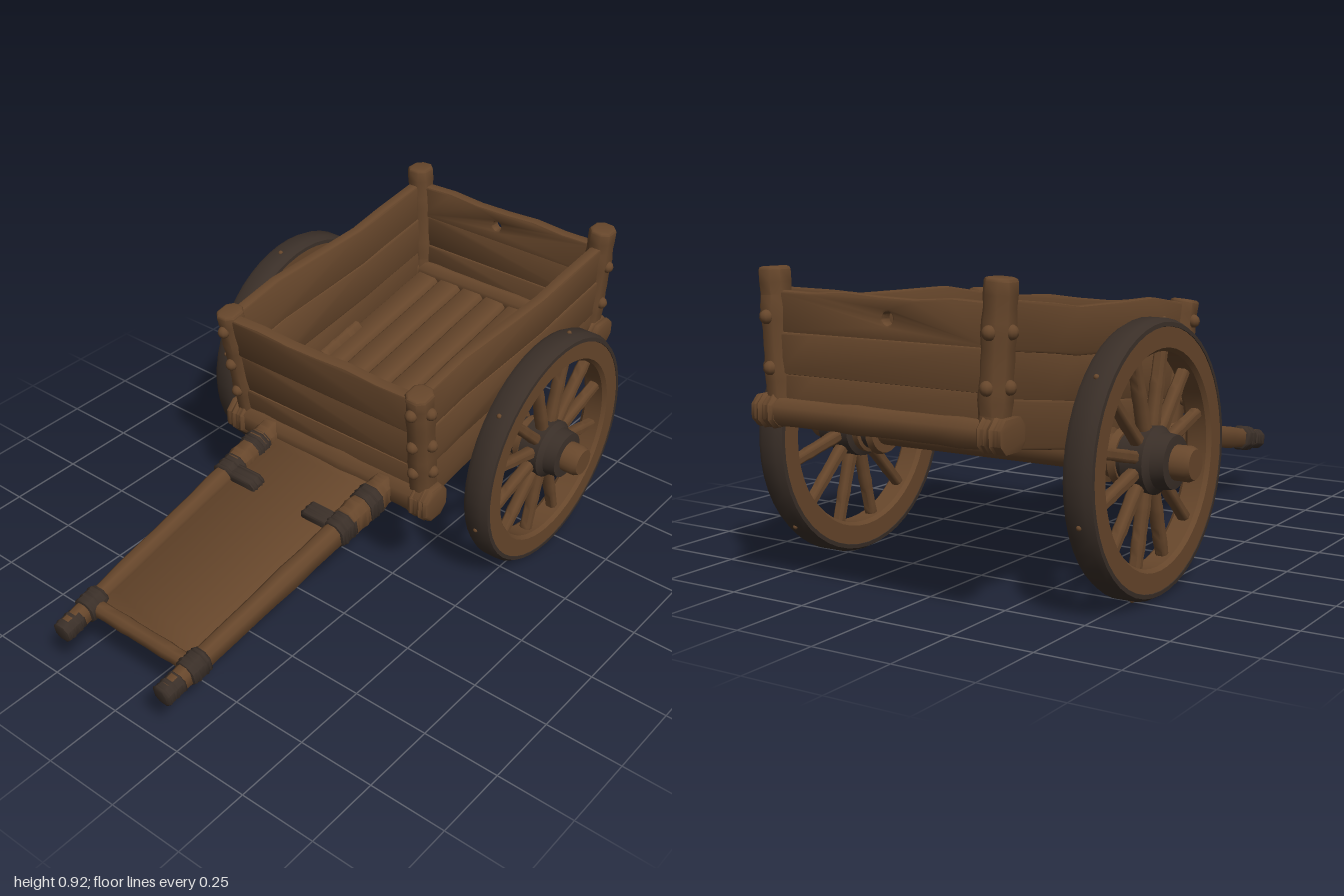
import * as THREE from 'three';
import { toCreasedNormals } from 'three/addons/utils/BufferGeometryUtils.js';

const wood = new THREE.MeshStandardMaterial({ color: 0x66462b });
const iron = new THREE.MeshStandardMaterial({ color: 0x3a2f28 });
const V = (x, y, z) => new THREE.Vector3(x, y, z);

let seed = 7;
const rand = () => (seed = (seed * 16807) % 2147483647) / 2147483647;

function add(parent, name, geometry, material = wood) {
  const mesh = new THREE.Mesh(geometry, material);
  mesh.name = name;
  parent.add(mesh);
  return mesh;
}

// Worn, rounded timber running from a to b; w across, h in the up direction
function beam(parent, name, a, b, w, h, { mat = wood, taper = 1, up = [0, 1, 0], rough = 0.03 } = {}) {
  const len = a.distanceTo(b), c = Math.min(w, h) * 0.2, e = c * 0.6;
  const x = w / 2 - e, y = h / 2 - e;
  const s = new THREE.Shape([
    [-x + c, -y], [x - c, -y], [x, -y + c], [x, y - c], [x - c, y], [-x + c, y], [-x, y - c], [-x, -y + c],
  ].map(p => new THREE.Vector2(...p)));
  const g = new THREE.ExtrudeGeometry(s, {
    depth: len - 2 * e, steps: 12, bevelThickness: e, bevelSize: e, bevelSegments: 2,
  });
  g.translate(0, 0, e);
  const p = g.attributes.position, phase = rand() * 6;
  for (let i = 0; i < p.count; i++) {
    const t = p.getZ(i) / len;
    const k = (1 + (taper - 1) * t) * (1 + rough * (Math.sin(t * 17 + phase) + Math.sin(t * 31 + phase * 2)));
    p.setXY(i, p.getX(i) * k, p.getY(i) * k);
  }
  const m = add(parent, name, toCreasedNormals(g, 0.8), mat);
  m.position.copy(a);
  m.up.set(...up);
  m.lookAt(b);
  return m;
}

function stud(parent, x, y, z, r = 0.02) {
  add(parent, 'stud', new THREE.SphereGeometry(r, 10, 8)).position.set(x, y, z);
}

// Ring or turned part about the z axis, from [radius, z] points
function turned(parent, name, pts, mat = wood, segments = 40) {
  const g = new THREE.LatheGeometry(pts.map(p => new THREE.Vector2(...p)), segments);
  g.rotateX(Math.PI / 2);
  return add(parent, name, toCreasedNormals(g, 0.6), mat);
}

function wheel(side) {
  const g = new THREE.Group();
  g.name = side > 0 ? 'frontWheel' : 'backWheel';
  turned(g, 'rim', [[0.3, -0.03], [0.31, -0.042], [0.372, -0.042], [0.378, -0.03], [0.378, 0.03],
    [0.372, 0.042], [0.31, 0.042], [0.3, 0.03], [0.3, -0.03]], wood, 48);
  turned(g, 'tyre', [[0.365, -0.036], [0.368, -0.044], [0.38, -0.043], [0.39, -0.025], [0.39, 0.025],
    [0.38, 0.043], [0.368, 0.044], [0.365, 0.036]], iron, 48);
  for (let i = 0; i < 12; i++) {
    const a = (i + 0.5) * Math.PI / 6 + 0.03;
    beam(g, 'spoke', V(Math.cos(a) * 0.06, Math.sin(a) * 0.06, 0),
      V(Math.cos(a) * 0.315, Math.sin(a) * 0.315, 0), 0.036, 0.042, { taper: 0.85, up: [0, 0, 1] });
  }
  turned(g, 'hub', [[0, -0.09], [0.065, -0.09], [0.07, -0.05], [0.092, -0.04], [0.096, 0.03],
    [0.08, 0.045], [0.075, 0.085], [0.05, 0.088], [0, 0.088]], iron, 24);
  turned(g, 'axleEnd', [[0, 0], [0.048, 0], [0.05, 0.13], [0.042, 0.145], [0, 0.145]], wood, 20);
  for (let i = 0; i < 6; i++) {
    const a = i * Math.PI / 3 + 0.3;
    stud(g, Math.cos(a) * 0.388, Math.sin(a) * 0.388 , 0, 0.008);
  }
  g.position.set(0.435, 0.392, side * 0.515);
  if (side < 0) g.rotation.y = Math.PI;
  return g;
}

// Side wall of three boards following the sloping floor and worn top edge
function sideWall(parent, side) {
  const xs = [0, 0.2, 0.42, 0.6, 0.72, 0.95];
  const tops = [0.77, 0.805, 0.81, 0.815, 0.835, 0.865];
  const edge = (i, t) => {
    const bottom = 0.335 + 0.165 * xs[i];
    const y = bottom + (tops[i] - bottom) * t;
    return new THREE.Vector2(xs[i] - 0.06 * t * (1 - xs[i]), y);
  };
  for (let b = 0; b < 3; b++) {
    const idx = xs.map((_, i) => i);
    const s = new THREE.Shape([
      ...idx.map(i => edge(i, b / 3 + 0.01)),
      ...idx.reverse().map(i => edge(i, (b + 1) / 3 - 0.01)),
    ]);
    const g = new THREE.ExtrudeGeometry(s, { depth: 0.022, bevelThickness: 0.008, bevelSize: 0.007, bevelSegments: 2 });
    g.translate(0, 0, -0.011 + (b % 2) * 0.004);
    const p = g.attributes.position;
    for (let i = 0; i < p.count; i++) p.setZ(i, p.getZ(i) + side * (0.355 + 0.05 * (p.getY(i) - 0.55)));
    add(parent, 'sideBoard', toCreasedNormals(g, 0.6));
  }
}

// End wall of three boards, leaning by angle, with an optional peg hole
function endWall(parent, name, x, y, height, lean, hole) {
  const wall = new THREE.Group();
  wall.name = name;
  const h = height / 3;
  for (let b = 0; b < 3; b++) {
    const w0 = 0.325 + b * 0.008, y0 = b * h + 0.005, y1 = (b + 1) * h - 0.005;
    const pts = [[-w0, y0], [w0, y0], [w0 + 0.008, y1]];
    for (let i = 1; i < 6; i++) pts.push([w0 - i * w0 / 3, y1 + (b === 2 ? 0.005 * Math.sin(i * 2) : 0)]);
    pts.push([-w0 - 0.008, y1]);
    const s = new THREE.Shape(pts.map(p => new THREE.Vector2(...p)));
    if (hole && b === 2) s.holes.push(new THREE.Path().absarc(0.03, hole, 0.024, 0, Math.PI * 2, true));
    const g = new THREE.ExtrudeGeometry(s, { depth: 0.022, bevelThickness: 0.008, bevelSize: 0.007, bevelSegments: 2 });
    g.translate(0, 0, -0.011 + (b % 2) * 0.004);
    g.rotateY(Math.PI / 2);
    add(wall, 'endBoard', toCreasedNormals(g, 0.6));
  }
  wall.position.set(x, y, 0);
  wall.rotation.z = lean;
  parent.add(wall);
}

export function createModel() {
  const cart = new THREE.Group();
  cart.name = 'handCart';

  // Floor boards and sills
  for (let i = 0; i < 7; i++) {
    const z = (i - 3) * 0.097;
    beam(cart, 'floorBoard', V(0, 0.362, z), V(0.95, 0.52, z), 0.094, 0.045, { rough: 0.012 });
  }
  beam(cart, 'frontSill', V(0, 0.368, -0.41), V(0, 0.368, 0.41), 0.105, 0.11);
  beam(cart, 'rearSill', V(0.945, 0.528, -0.41), V(0.945, 0.528, 0.41), 0.105, 0.075);
  for (const x of [0.0, 0.945]) for (const s of [1, -1]) {
    const y = x ? 0.528 : 0.365;
    beam(cart, 'sillEnd', V(x, y, s * 0.33), V(x, y, s * 0.412), 0.115, x ? 0.09 : 0.115);
  }

  // Walls
  endWall(cart, 'frontWall', 0.0, 0.36, 0.415, 0.16);
  endWall(cart, 'rearWall', 0.945, 0.52, 0.335, 0.02, 0.28);
  for (const s of [1, -1]) {
    sideWall(cart, s);

    // Corner posts and their studs
    beam(cart, 'frontPost', V(0.012, 0.36, s * 0.35), V(-0.06, 0.785, s * 0.372), 0.075, 0.085, { up: [1, 0, 0] });
    beam(cart, 'rearPost', V(0.94, 0.5, s * 0.345), V(0.935, 0.92, s * 0.37), 0.078, 0.085, { up: [1, 0, 0] });
    for (const t of [0.3, 0.55, 0.85]) {
      stud(cart, 0.012 - 0.072 * t, 0.36 + 0.425 * t, s * (0.388 + 0.022 * t));
      stud(cart, -0.032 - 0.072 * t, 0.36 + 0.425 * t, s * (0.35 + 0.022 * t));
    }
    for (const t of [0.35, 0.68]) {
      stud(cart, 0.938, 0.5 + 0.42 * t, s * (0.385 + 0.022 * t));
      stud(cart, 0.98, 0.5 + 0.42 * t, s * (0.345 + 0.025 * t));
    }

    // Axle bolster, collars and wheel
    beam(cart, 'bolster', V(0.34, 0.43, s * 0.335), V(0.54, 0.462, s * 0.335), 0.06, 0.06);
    const collar = turned(cart, 'axleCollar', [[0.04, -0.03], [0.075, -0.03], [0.082, -0.01], [0.062, 0.0],
      [0.062, 0.02], [0.078, 0.025], [0.078, 0.045], [0.04, 0.045]], wood, 20);
    collar.position.set(0.435, 0.392, s * 0.42);
    cart.add(wheel(s));

    // Tapered shaft with iron bands and grip
    const at = (x, dy = 0) => V(x, 0.37 + 0.185 * x + dy, s * (0.233 + 0.03 * x));
    beam(cart, 'shaft', at(0.02), at(-0.98), 0.068, 0.088, { taper: 0.75 });
    beam(cart, 'gripCap', at(-0.925), at(-1), 0.062, 0.066, { mat: iron });
    beam(cart, 'gripBand', at(-0.83), at(-0.905), 0.074, 0.082, { mat: iron });
    beam(cart, 'shaftBand', at(-0.2), at(-0.275), 0.082, 0.096, { mat: iron });
    beam(cart, 'shaftBand', at(-0.08), at(-0.145), 0.088, 0.105, { mat: iron });
    beam(cart, 'shaftCheek', at(-0.02), at(-0.22), 0.08, 0.1);
    const b0 = at(-0.22, 0.008), b1 = at(-0.275, 0.008);
    b0.z = b1.z = s * 0.155;
    beam(cart, 'deckBracket', b0, b1, 0.12, 0.055, { mat: iron });
  }

  // Axle
  const axle = add(cart, 'axle', new THREE.CylinderGeometry(0.05, 0.05, 0.96, 20).rotateX(Math.PI / 2));
  axle.position.set(0.435, 0.392, 0);

  // Deck between the shafts
  beam(cart, 'deck', V(0, 0.36, 0), V(-0.87, 0.2, 0), 0.42, 0.035, { taper: 0.92, rough: 0.003 });
  beam(cart, 'deckCrossbar', V(-0.87, 0.207, -0.205), V(-0.87, 0.207, 0.205), 0.045, 0.05);

  return cart;
}
